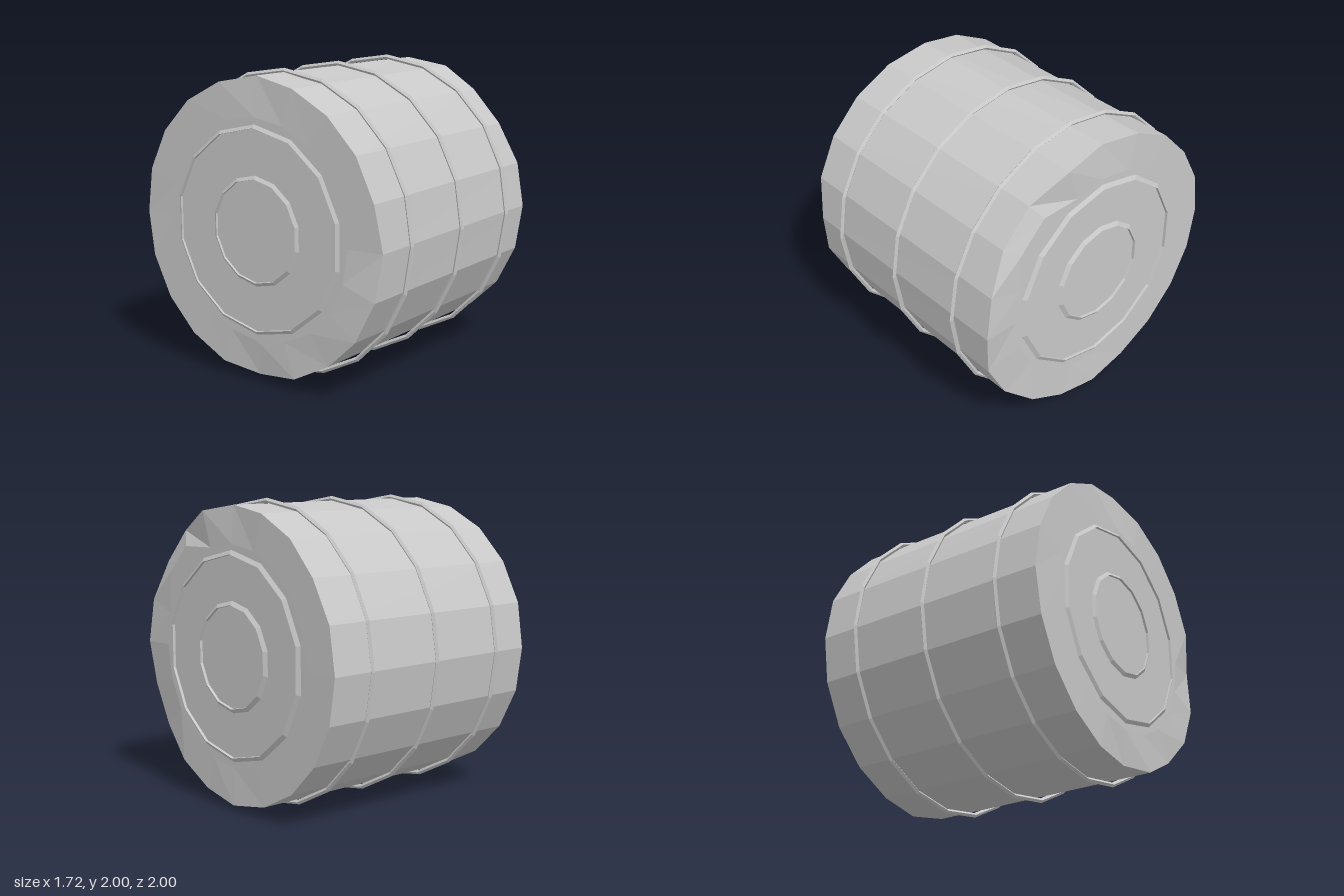
import * as THREE from 'three';

const SIDES = 20;
// Uneven rims, counted from the top towards the front: axial position, radius
const RIGHT_X = [.82, .845, .79, .79, .83, .84, .81, .81, .84, .84, .85, .84, .84, .84, .84, .84, .84, .84, .84, .84];
const LEFT_X = [.82, .84, .845, .845, .845, .81, .84, .845, .83, .84, .82, .84, .845, .845, .845, .84, .845, .845, .845, .84];
const RIGHT_R = [.962, .965, .962, .955, .95, .95, .965, .965, .955, .96, .968, .965, .965, .965, .965, .965, .965, .955, .965, .965];
const LEFT_R = [.975, .965, .965, .965, .96, .955, .965, .965, .955, .96, .95, .965, .965, .965, .965, .965, .965, .965, .965, .965];

// Barrel wall and both end faces from four cross-sections
function bodyGeometry() {
  const pos = [], index = [];
  const ring = (x, r) => {
    for (let k = 0; k < SIDES; k++) {
      const a = k / SIDES * Math.PI * 2;
      pos.push(x(k), 1 + r(k) * Math.cos(a), r(k) * Math.sin(a));
    }
  };
  ring(() => -.845, () => .72);
  ring(k => -LEFT_X[k], k => LEFT_R[k]);
  ring(k => RIGHT_X[k], k => RIGHT_R[k]);
  // The end face stops short at the worn edge
  ring(() => .842, k => (k === 2 || k === 3 ? .84 : .72));
  pos.push(-.845, 1, 0, .842, 1, 0);
  for (let k = 0; k < SIDES; k++) {
    const n = (k + 1) % SIDES;
    for (let j = 0; j < 3; j++) {
      const a = j * SIDES + k, b = j * SIDES + n;
      index.push(a, b, a + SIDES, b, b + SIDES, a + SIDES);
    }
    index.push(4 * SIDES, n, k, 4 * SIDES + 1, 3 * SIDES + k, 3 * SIDES + n);
  }
  const g = new THREE.BufferGeometry();
  g.setAttribute('position', new THREE.Float32BufferAttribute(pos, 3));
  g.setIndex(index);
  const flat = g.toNonIndexed();
  flat.computeVertexNormals();
  return flat;
}

// Ring around the x axis from [radius, axial] profile points
function ringGeometry(profile, sides) {
  const pts = profile.map(([r, x]) => new THREE.Vector2(r, x));
  const g = new THREE.LatheGeometry(pts, sides, Math.PI / 2);
  return g.rotateZ(-Math.PI / 2);
}

export function createModel() {
  const model = new THREE.Group();
  model.name = 'drum';
  const grey = new THREE.MeshStandardMaterial({ color: 0xc8c8c8, flatShading: true });
  grey.name = 'grey';
  const add = (name, geometry, parent = model) => {
    const mesh = new THREE.Mesh(geometry, grey);
    mesh.name = name;
    parent.add(mesh);
    return mesh;
  };

  add('barrelBody', bodyGeometry());

  // Three thin hoops around the wall
  const hoop = ringGeometry([[.968, 0], [.984, -.014], [1, 0], [.984, .014], [.968, 0]], SIDES);
  for (const x of [-.555, 0, .555]) add('hoop', hoop).position.set(x, 1, 0);

  // Two raised rings on each end
  for (const side of [1, -1]) {
    const end = new THREE.Group();
    end.name = side > 0 ? 'leftEndRings' : 'rightEndRings';
    end.position.y = 1;
    end.rotation.y = side > 0 ? 0 : Math.PI;
    for (const r of [.655, .335]) {
      add('endRing', ringGeometry([[r + .037, .835], [r, .86], [r - .003, .835]], 14), end);
    }
    model.add(end);
  }
  return model;
}
